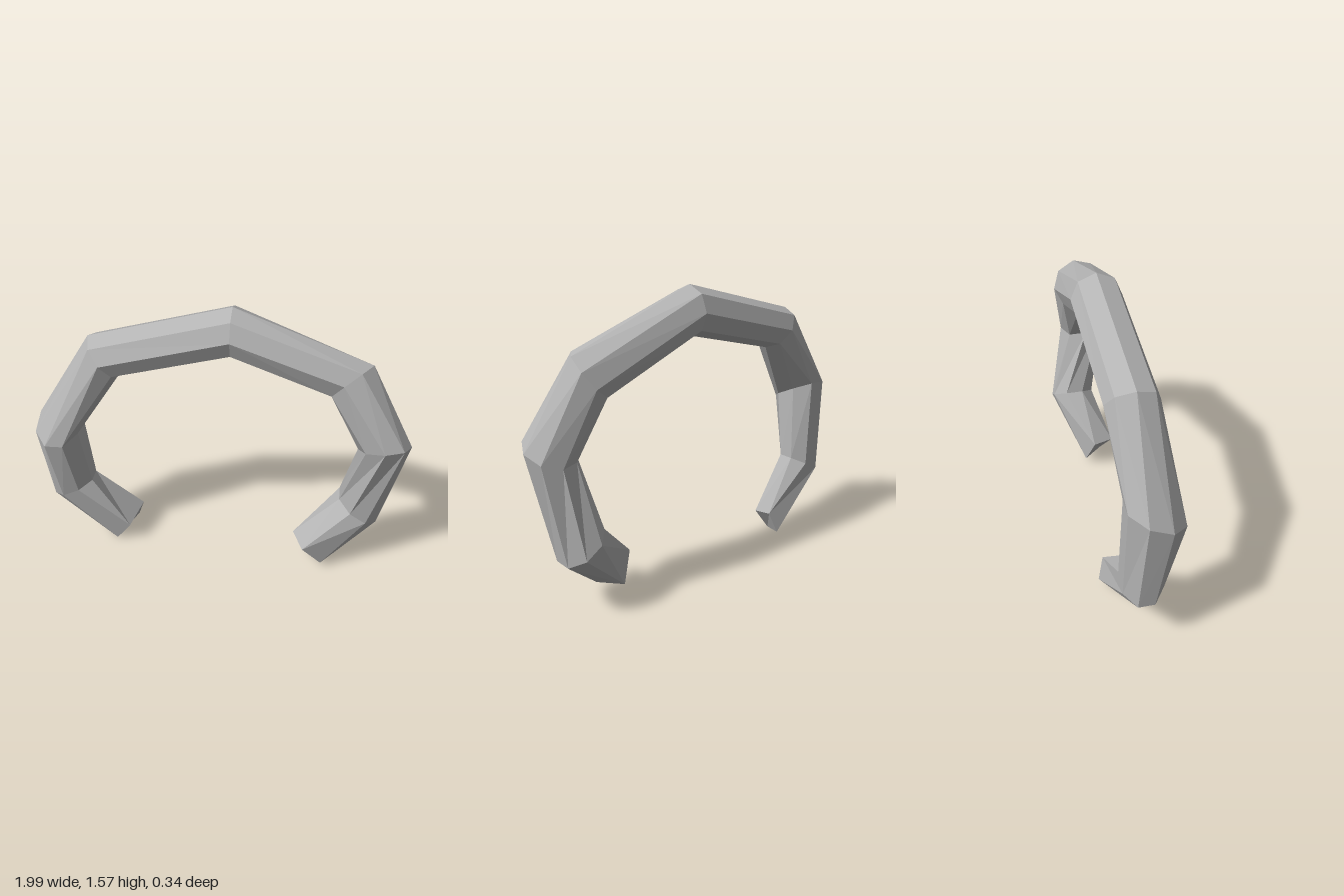
import * as THREE from 'three';

const SIDES = 8;

// Eight-sided section between an outer and an inner point.
// z: middle depth, rz: half depth, phase: turn in degrees, tilt: lean of the front along the path
function section([ox, oy], [ix, iy], z, rz, phase = 0, tilt = 0) {
  const outer = new THREE.Vector3(ox, oy, z);
  const inner = new THREE.Vector3(ix, iy, z);
  const centre = outer.clone().add(inner).multiplyScalar(0.5);
  const out = outer.clone().sub(centre);
  const along = new THREE.Vector3(out.y, -out.x, 0).normalize();
  const stretch = phase ? 1 / Math.cos(THREE.MathUtils.degToRad(phase)) : 1;
  return Array.from({ length: SIDES }, (_, k) => {
    const a = (k / SIDES) * Math.PI * 2 + THREE.MathUtils.degToRad(phase);
    const p = centre.clone()
      .addScaledVector(out, Math.cos(a) * stretch)
      .addScaledVector(along, Math.sin(a) * tilt);
    p.z += Math.sin(a) * rz;
    return p;
  });
}

// Four-cornered tip: outer front, inner front, inner back, outer back
function tip(...corners) {
  return Array.from({ length: SIDES }, (_, k) => new THREE.Vector3(...corners[Math.floor(k / 2)]));
}

// Faceted skin through the sections, closed at both ends
function loft(sections) {
  const pos = [];
  const tri = (a, b, c) => {
    const area = b.clone().sub(a).cross(c.clone().sub(a)).length();
    if (area > 1e-6) for (const p of [a, b, c]) pos.push(p.x, p.y, p.z);
  };
  for (let i = 0; i < sections.length - 1; i++) {
    for (let k = 0; k < SIDES; k++) {
      const n = (k + 1) % SIDES;
      const [a, b, c, d] = [sections[i][k], sections[i][n], sections[i + 1][n], sections[i + 1][k]];
      tri(a, b, c);
      tri(a, c, d);
    }
  }
  const first = sections[0];
  const last = sections[sections.length - 1];
  for (let k = 1; k < SIDES - 1; k++) {
    tri(first[0], first[k + 1], first[k]);
    tri(last[0], last[k], last[k + 1]);
  }
  const geometry = new THREE.BufferGeometry();
  geometry.setAttribute('position', new THREE.Float32BufferAttribute(pos, 3));
  geometry.computeVertexNormals();
  return geometry;
}

export function createModel() {
  const grey = new THREE.MeshStandardMaterial({ color: 0xb4b4b4 });
  grey.name = 'grey';
  grey.flatShading = true;

  // Open ring, from the right tip over the top to the left tip
  const ring = new THREE.Mesh(loft([
    tip([-0.62, 0, 0.02], [-0.53, 0.13, 0.04], [-0.48, 0.18, -0.12], [-0.52, 0.06, -0.15]),
    section([-0.96, 0.33], [-0.73, 0.45], -0.01, 0.11, 22.5),
    section([-0.99, 0.84], [-0.755, 0.85], 0.035, 0.15, 22.5, -0.07),
    section([-0.67, 1.37], [-0.52, 1.16], -0.01, 0.13),
    section([0.06, 1.57], [0.06, 1.31], -0.03, 0.13),
    section([0.76, 1.31], [0.57, 1.11], -0.02, 0.125, 0, -0.06),
    section([1, 0.88], [0.73, 0.84], 0.04, 0.13, 0, -0.05),
    section([0.885, 0.31], [0.67, 0.45], -0.05, 0.13, 22.5),
    tip([0.6, 0.04, 0.1], [0.49, 0.18, 0.15], [0.43, 0.2, 0.03], [0.5, 0.04, -0.015]),
  ]), grey);
  ring.name = 'openRing';

  const model = new THREE.Group();
  model.name = 'facetedOpenRing';
  model.add(ring);
  return model;
}
